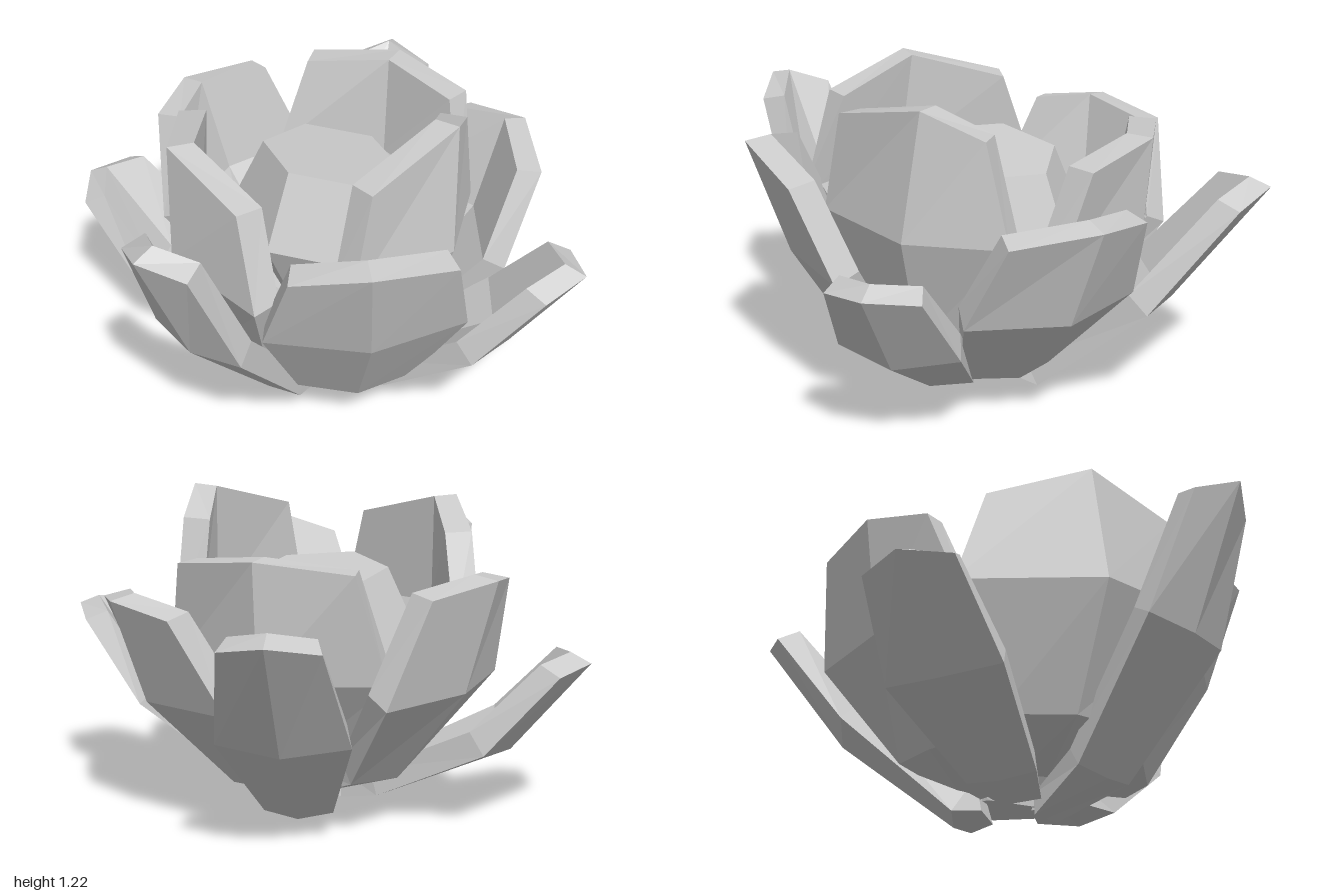
import * as THREE from 'three';

const material = new THREE.MeshStandardMaterial({ color: 0xcccccc, flatShading: true });
const THICKNESS = 0.1;

// Thick creased petal facing +z, lofted from rows of
// [reach, height, half width, how far the sides curl in, how far they drop, crease shift].
function petalGeometry(rows) {
  const last = rows.length - 1;
  const loops = rows.map(([r, y, w, curl, drop, shift = 0], i) => {
    const a = rows[Math.max(i - 1, 0)], b = rows[Math.min(i + 1, last)];
    const n = new THREE.Vector2(a[1] - b[1], b[0] - a[0]).normalize().multiplyScalar(THICKNESS);
    if (i === last) n.y *= 0.6; // flatter rim
    const outer = [-1, 0, 1].map((s) => new THREE.Vector3(
      s === 0 ? shift : s * w, y - Math.abs(s) * drop, r - Math.abs(s) * curl));
    const inner = outer.map((p, k) =>
      new THREE.Vector3(p.x - (k - 1) * THICKNESS * 0.25, p.y + n.y, p.z + n.x));
    return [...outer, ...inner.reverse()];
  });

  const positions = [];
  const quad = (a, b, c, d) => {
    for (const p of [a, b, c, a, c, d]) positions.push(p.x, p.y, p.z);
  };
  for (let i = 0; i < last; i++) {
    for (let j = 0; j < 6; j++) {
      const k = (j + 1) % 6;
      quad(loops[i][j], loops[i][k], loops[i + 1][k], loops[i + 1][j]);
    }
  }
  // End caps
  const top = loops[last], base = loops[0];
  quad(top[0], top[1], top[4], top[5]);
  quad(top[1], top[2], top[3], top[4]);
  quad(base[5], base[4], base[1], base[0]);
  quad(base[4], base[3], base[2], base[1]);

  const geometry = new THREE.BufferGeometry();
  geometry.setAttribute('position', new THREE.Float32BufferAttribute(positions, 3));
  geometry.computeVertexNormals();
  return geometry;
}

// Each petal: heading in degrees, x and z offset, profile rows from base to tip
const outerPetals = [
  { turn: 0, x: 0.015, z: 0, rows: [
    [0.06, 0.01, 0.06, 0, 0], [0.36, 0.09, 0.14, 0.02, -0.02],
    [0.77, 0.53, 0.21, 0.04, -0.02], [1.0, 1.06, 0.155, 0.09, 0.06]] },
  { turn: 109, x: 0.015, z: 0.05, rows: [
    [0.12, 0.1, 0.1, 0, 0], [0.36, 0.1, 0.16, 0.04, -0.02],
    [0.76, 0.36, 0.23, 0.08, -0.03], [1.02, 0.73, 0.175, 0.1, 0.03]] },
  { turn: 208, x: 0.044, z: -0.024, rows: [
    [0.18, 0.06, 0.08, 0, 0], [0.31, 0.03, 0.13, 0.03, -0.02],
    [0.77, 0.4, 0.24, 0.08, -0.02], [1.11, 0.86, 0.175, 0.11, 0.04]] },
  { turn: -74, x: 0, z: 0.015, rows: [
    [0.1, 0.05, 0.08, 0, 0], [0.28, 0.07, 0.14, 0.02, -0.02],
    [0.74, 0.28, 0.23, 0.05, -0.03], [1.03, 0.63, 0.18, 0.08, 0.02]] },
];
const middlePetals = [
  { turn: 49, x: 0.033, z: -0.038, rows: [
    [0.08, 0.12, 0.12, 0, 0], [0.45, 0.19, 0.22, 0.06, -0.02],
    [0.7, 0.6, 0.37, 0.115, 0], [0.845, 1.03, 0.295, 0.12, 0.08, -0.03]] },
  { turn: 155, x: 0, z: 0, rows: [
    [0.1, 0.11, 0.12, 0, 0], [0.38, 0.14, 0.22, 0.06, -0.02],
    [0.73, 0.5, 0.35, 0.14, 0], [0.874, 0.89, 0.275, 0.105, 0.04, 0.03]] },
  { turn: -90, x: 0, z: -0.11, rows: [
    [0.1, 0.11, 0.12, 0, 0], [0.42, 0.2, 0.22, 0.06, -0.02],
    [0.7, 0.56, 0.38, 0.09, 0], [0.8, 0.97, 0.27, 0.08, 0.03, 0.04]] },
];
const innerPetals = [
  { turn: -30, x: 0.035, z: 0.02, rows: [
    [0.08, 0.16, 0.12, 0, 0], [0.42, 0.27, 0.27, 0.08, 0],
    [0.63, 0.72, 0.47, 0.18, 0, 0.05], [0.61, 1.17, 0.36, 0.14, 0.09]] },
  { turn: 95, x: 0, z: 0, rows: [
    [0.08, 0.16, 0.12, 0, 0], [0.38, 0.28, 0.25, 0.08, 0],
    [0.54, 0.74, 0.4, 0.145, 0, 0.04], [0.5, 1.23, 0.31, 0.09, 0.1, 0.1]] },
  { turn: 192, x: -0.04, z: 0.003, rows: [
    [0.08, 0.16, 0.12, 0, 0], [0.4, 0.26, 0.25, 0.08, 0],
    [0.66, 0.62, 0.42, 0.17, 0], [0.69, 1.06, 0.335, 0.1, 0.04]] },
];

function petalRing(name, petals) {
  const ring = new THREE.Group();
  ring.name = name + 's';
  petals.forEach(({ turn, x, z, rows }, i) => {
    const petal = new THREE.Mesh(petalGeometry(rows), material);
    petal.name = name + (i + 1);
    petal.position.set(x, 0, z);
    petal.rotation.y = THREE.MathUtils.degToRad(turn);
    ring.add(petal);
  });
  return ring;
}

// Six-sided bud with a flat top that leans gently towards the back
function createBud() {
  const profile = [[0, 0.2], [0.18, 0.2], [0.41, 0.62], [0.27, 0.93], [0, 0.93]]
    .map(([r, y]) => new THREE.Vector2(r, y));
  const geometry = new THREE.LatheGeometry(profile, 6);
  const p = geometry.attributes.position;
  for (let i = 0; i < p.count; i++) p.setY(i, p.getY(i) + 0.15 * p.getZ(i));
  geometry.scale(1, 1, 0.9);
  const bud = new THREE.Mesh(geometry, material);
  bud.name = 'bud';
  bud.position.set(-0.035, 0, -0.07);
  return bud;
}

export function createModel() {
  const flower = new THREE.Group();
  flower.name = 'flower';
  flower.add(
    petalRing('outerPetal', outerPetals),
    petalRing('middlePetal', middlePetals),
    petalRing('innerPetal', innerPetals),
    createBud(),
  );
  return flower;
}
